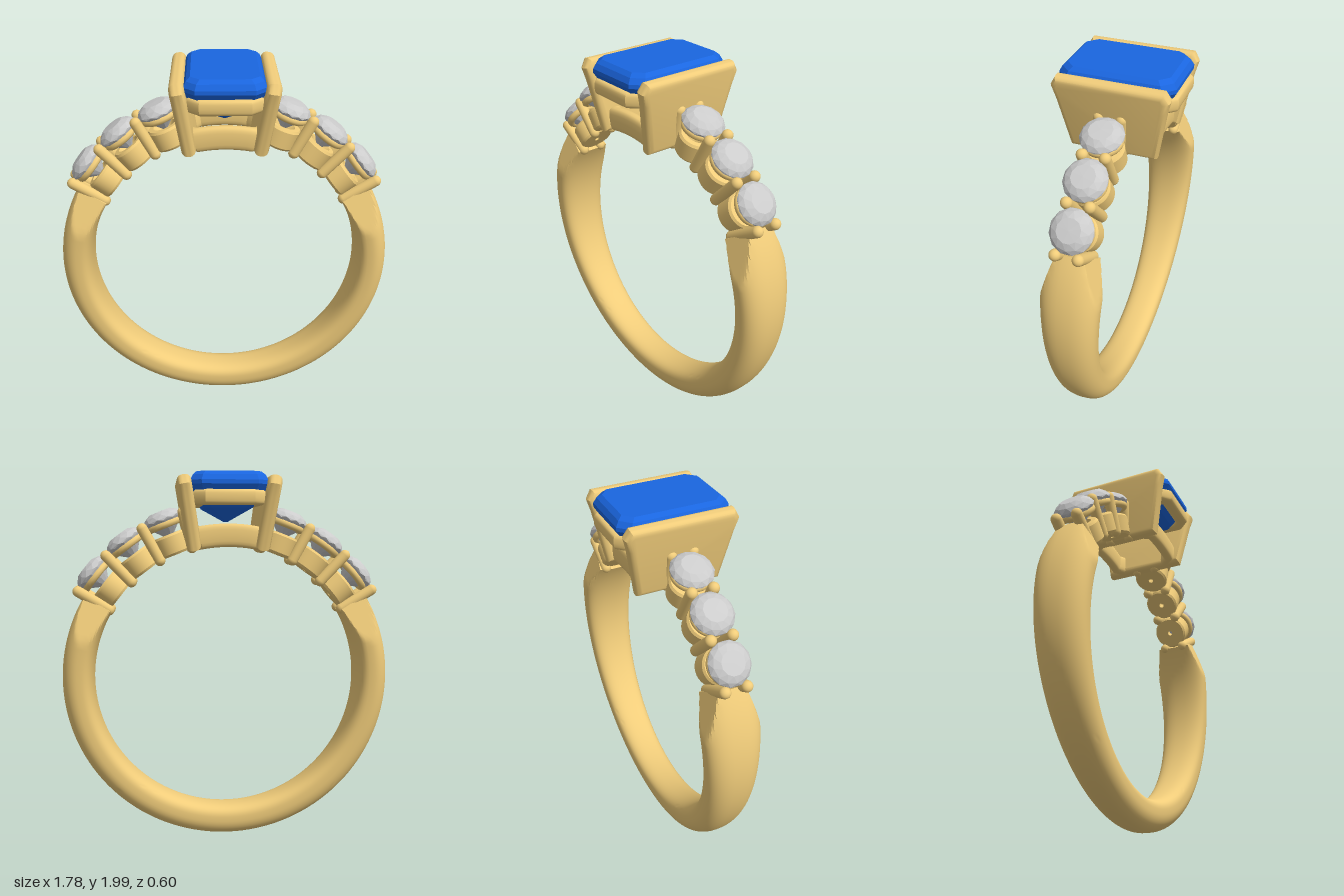
import * as THREE from 'three';
import { toCreasedNormals } from 'three/addons/utils/BufferGeometryUtils.js';

const CY = 0.9; // height of the band's centre
const gold = new THREE.MeshStandardMaterial({ color: 0xf0cc7a });
const blue = new THREE.MeshStandardMaterial({ color: 0x1a66e0, flatShading: true });
const grey = new THREE.MeshStandardMaterial({ color: 0xcccccc, flatShading: true });
const rad = THREE.MathUtils.degToRad;
const V = (x, y, z) => new THREE.Vector3(x, y, z);

function mesh(name, geometry, material = gold) {
  const m = new THREE.Mesh(geometry, material);
  m.name = name;
  return m;
}

// Skin a list of equal-length closed rings; optionally join last ring to first.
function loft(rings, closed = false) {
  const n = rings[0].length, pos = [], idx = [];
  rings.forEach(r => r.forEach(p => pos.push(p.x, p.y, p.z)));
  const last = closed ? rings.length : rings.length - 1;
  for (let i = 0; i < last; i++) {
    const a = i * n, b = ((i + 1) % rings.length) * n;
    for (let j = 0; j < n; j++) {
      const k = (j + 1) % n;
      idx.push(a + j, b + j, b + k, a + j, b + k, a + k);
    }
  }
  const g = new THREE.BufferGeometry();
  g.setAttribute('position', new THREE.Float32BufferAttribute(pos, 3));
  g.setIndex(idx);
  g.computeVertexNormals();
  return g;
}

// Rectangle with cut corners, each edge split into n steps.
function octagon(hx, hz, c, y, n = 1) {
  const k = [[hx, hz - c], [hx, c - hz], [hx - c, -hz], [c - hx, -hz],
    [-hx, c - hz], [-hx, hz - c], [c - hx, hz], [hx - c, hz]];
  const out = [];
  k.forEach(([x, z], i) => {
    const [u, w] = k[(i + 1) % 8];
    for (let s = 0; s < n; s++) out.push(V(x + (u - x) * s / n, y, z + (w - z) * s / n));
  });
  return out;
}

// Cut-corner frame with a rounded section.
function frame(hx, hz, c, thick, height, yMid, steps = 1) {
  const rings = [], N = 20;
  const soft = v => Math.sign(v) * Math.abs(v) ** 0.6;
  for (let i = 0; i < N; i++) {
    const a = i / N * Math.PI * 2;
    const inset = thick / 2 * (1 - soft(Math.cos(a)));
    rings.push(octagon(hx - inset, hz - inset, c - inset * 0.586,
      yMid - height / 2 * soft(Math.sin(a)), steps));
  }
  return loft(rings, true);
}

// Band: domed outside, flatter inside, widening upward, then pinched by a flat cut.
function bandGeometry() {
  const rings = [], N = 120, M = 40, end = 31.5;
  for (let i = 0; i <= N; i++) {
    const t = rad(end - (180 + 2 * end) * i / N), ring = [];
    for (let j = 0; j < M; j++) {
      const s = j / M * Math.PI * 2, c = Math.cos(s), q = Math.sin(s);
      const r = 0.805 + 0.085 * (c > 0 ? c : -((-c) ** 0.6));
      const y = CY + r * Math.sin(t);
      const w = 0.092 + 0.058 * Math.min(1, Math.max(0, y / 1.12));
      const cut = Math.max(0.07, 0.15 - (y - 1.12) * 0.33);
      const z = -Math.sign(q) * Math.abs(q) ** 0.8 * w;
      ring.push(V(r * Math.cos(t), y, THREE.MathUtils.clamp(z, -cut, cut)));
    }
    rings.push(ring);
  }
  const cap = ring => {
    const c = ring.reduce((a, p) => a.add(p), V(0, 0, 0)).divideScalar(M);
    return ring.map(() => c.clone());
  };
  return toCreasedNormals(loft([cap(rings[0]), ...rings, cap(rings[N])]), 0.5);
}

// Round stone: each ring is turned half a step to give triangular facets.
function roundStoneGeometry() {
  const n = 12;
  const profile = [[0, 0.972], [0.06, 0.97], [0.092, 0.952], [0.109, 0.93],
    [0.107, 0.92], [0.055, 0.865], [0, 0.81]];
  return loft(profile.map(([r, y], i) => Array.from({ length: n }, (_, j) => {
    const a = (j - i / 2) / n * Math.PI * 2;
    return V(r * Math.cos(a), y, -r * Math.sin(a));
  })));
}

// Shoulder parts are made at the top of the band, then swung round its centre.
function shoulder(side) {
  const g = new THREE.Group();
  g.name = side > 0 ? 'leftShoulder' : 'rightShoulder';
  const swing = (name, deg, ...parts) => {
    const p = new THREE.Group();
    p.name = name;
    p.position.y = CY;
    p.rotation.z = -side * rad(90 - deg);
    p.add(...parts);
    g.add(p);
  };
  const cup = [[0.014, 0.73], [0.086, 0.73], [0.095, 0.742], [0.095, 0.83],
    [0.086, 0.842], [0.06, 0.842], [0.014, 0.77], [0.014, 0.73]]
    .map(p => new THREE.Vector2(...p));
  for (const deg of [38.9, 53.8, 68.6]) {
    const seatRing = mesh('seatRing', new THREE.TorusGeometry(0.083, 0.02, 10, 32).rotateX(Math.PI / 2));
    seatRing.position.y = 0.897;
    swing('accentSetting', deg,
      mesh('seatCup', toCreasedNormals(new THREE.LatheGeometry(cup, 32), 0.6)),
      seatRing, mesh('accentStone', roundStoneGeometry(), grey));
  }
  for (const deg of [31.5, 46.4, 61.2, 75.5]) {
    swing('prongPair', deg, ...[-1, 1].map(s => {
      const m = mesh('prong', new THREE.CapsuleGeometry(0.029, 0.19, 8, 16));
      m.position.set(0, 0.833, s * 0.057);
      return m;
    }));
  }
  return g;
}

// Tapered rounded plate that holds one long side of the main stone.
function sidePlate(side) {
  const s = new THREE.Shape([[-0.198, 0.03], [0.198, 0.03], [0.247, 0.28], [0.262, 0.335],
    [0.25, 0.355], [-0.25, 0.355], [-0.262, 0.335], [-0.247, 0.28]]
    .map(p => new THREE.Vector2(...p)));
  const geo = new THREE.ExtrudeGeometry(s, {
    depth: 0.014, bevelSize: 0.03, bevelThickness: 0.03, bevelSegments: 5 });
  geo.translate(0, 0, -0.007).rotateY(Math.PI / 2);
  const m = mesh(side > 0 ? 'leftPlate' : 'rightPlate', toCreasedNormals(geo, 0.6));
  m.position.set(side * 0.175, 1.6, 0);
  m.rotation.z = -side * 0.155;
  return m;
}

export function createModel() {
  const model = new THREE.Group();
  model.name = 'ring';
  model.add(mesh('band', bandGeometry()));

  for (const side of [1, -1]) model.add(shoulder(side), sidePlate(side));

  // Upper rail under the main stone
  model.add(mesh('upperRail', toCreasedNormals(frame(0.185, 0.3, 0.06, 0.07, 0.08, 1.87), 0.6)));

  // Lower gallery, bent to follow the band's curve
  const gallery = frame(0.21, 0.2, 0.06, 0.06, 0.12, 0.78, 8);
  const p = gallery.attributes.position;
  for (let i = 0; i < p.count; i++) {
    const r = p.getY(i), a = p.getX(i) / 0.78;
    p.setXYZ(i, r * Math.sin(a), CY + r * Math.cos(a), p.getZ(i));
  }
  model.add(mesh('lowerGallery', toCreasedNormals(gallery, 0.6)));

  // Step-cut main stone, from table down to keel: half width, half depth, corner, height
  const steps = [[0, 0, 0, 2], [0.165, 0.255, 0.045, 2], [0.185, 0.277, 0.05, 1.982],
    [0.198, 0.292, 0.055, 1.955], [0.198, 0.292, 0.055, 1.935], [0.175, 0.262, 0.048, 1.885],
    [0.125, 0.205, 0.036, 1.82], [0.004, 0.09, 0.002, 1.75], [0, 0, 0, 1.75]];
  model.add(mesh('mainStone', loft(steps.map(s => octagon(...s))), blue));

  return model;
}
